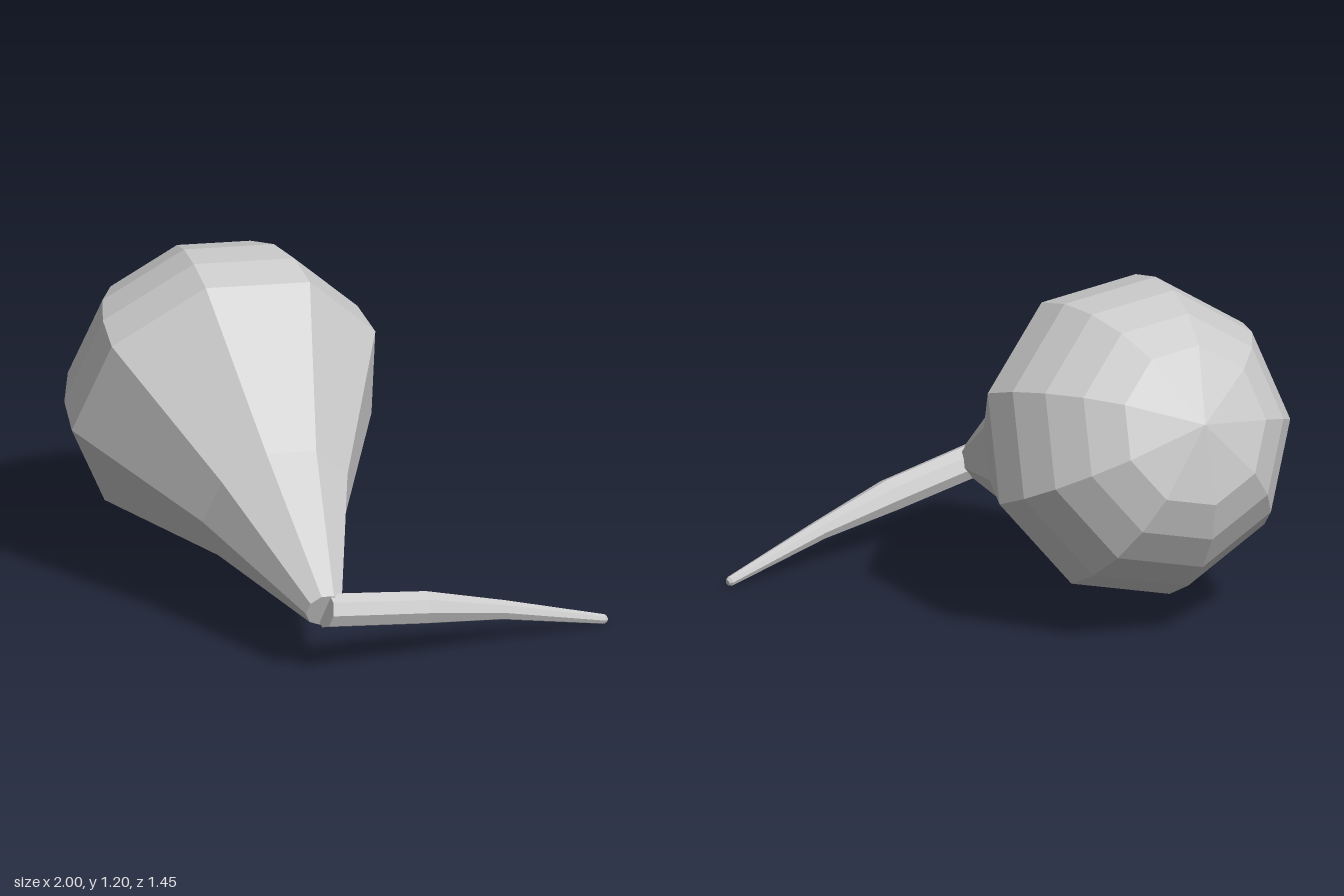
import * as THREE from 'three';

const grey = () => new THREE.MeshStandardMaterial({ color: 0xcccccc, flatShading: true });

// Turned solid along a given axis; "side" is the direction of its first vertex row.
function turned(name, profile, sides, start, axis, side, bow = 0) {
  const geo = new THREE.LatheGeometry(profile.map(([r, t]) => new THREE.Vector2(r, t)), sides);
  const y = axis.clone().normalize();
  const z = side.clone().addScaledVector(y, -side.dot(y)).normalize();
  const x = new THREE.Vector3().crossVectors(y, z);
  geo.applyMatrix4(new THREE.Matrix4().makeBasis(x, y, z));

  // Gentle upward bow along the length
  if (bow) {
    const length = axis.length();
    const p = geo.attributes.position;
    const v = new THREE.Vector3();
    for (let i = 0; i < p.count; i++) {
      v.fromBufferAttribute(p, i);
      const t = THREE.MathUtils.clamp(v.dot(y) / length, 0, 1);
      p.setY(i, v.y + bow * Math.sin(Math.PI * t));
    }
  }
  geo.translate(start.x, start.y, start.z);
  geo.computeVertexNormals();
  const mesh = new THREE.Mesh(geo, grey());
  mesh.name = name;
  return mesh;
}

export function createModel() {
  const group = new THREE.Group();
  group.name = 'bulbWithStem';

  const joint = new THREE.Vector3(0.205, 0.245, 0.67);

  // Bulb: a flared neck closed by a faceted dome
  const bulbCentre = new THREE.Vector3(-0.438, 0.643, -0.16);
  const bulbAxis = bulbCentre.clone().sub(joint);
  const length = bulbAxis.length();
  const radius = 0.575;
  const bulbProfile = [[0, 0], [0.068, 0], [0.275, 0.55]];
  for (const degrees of [0, 15, 30, 45, 60]) {
    const a = THREE.MathUtils.degToRad(degrees);
    bulbProfile.push([radius * Math.cos(a), length + radius * Math.sin(a)]);
  }
  bulbProfile.push([0, length + radius]);
  group.add(turned('bulb', bulbProfile, 9, joint, bulbAxis, new THREE.Vector3(0.31, 0.487, 0)));

  // Stem: a thin tapering rod from the joint down to the ground
  const stemStart = new THREE.Vector3(0.21, 0.245, 0.67);
  const stemAxis = new THREE.Vector3(0.985, 0.018, -0.105).sub(stemStart);
  const end = stemAxis.length();
  const stemProfile = [[0, 0], [0.063, 0], [0.061, 0.39], [0.036, 0.71], [0.018, end - 0.005], [0.011, end + 0.006], [0, end + 0.006]];
  group.add(turned('stem', stemProfile, 8, stemStart, stemAxis, new THREE.Vector3(0, 1, 0), 0.026));

  return group;
}
